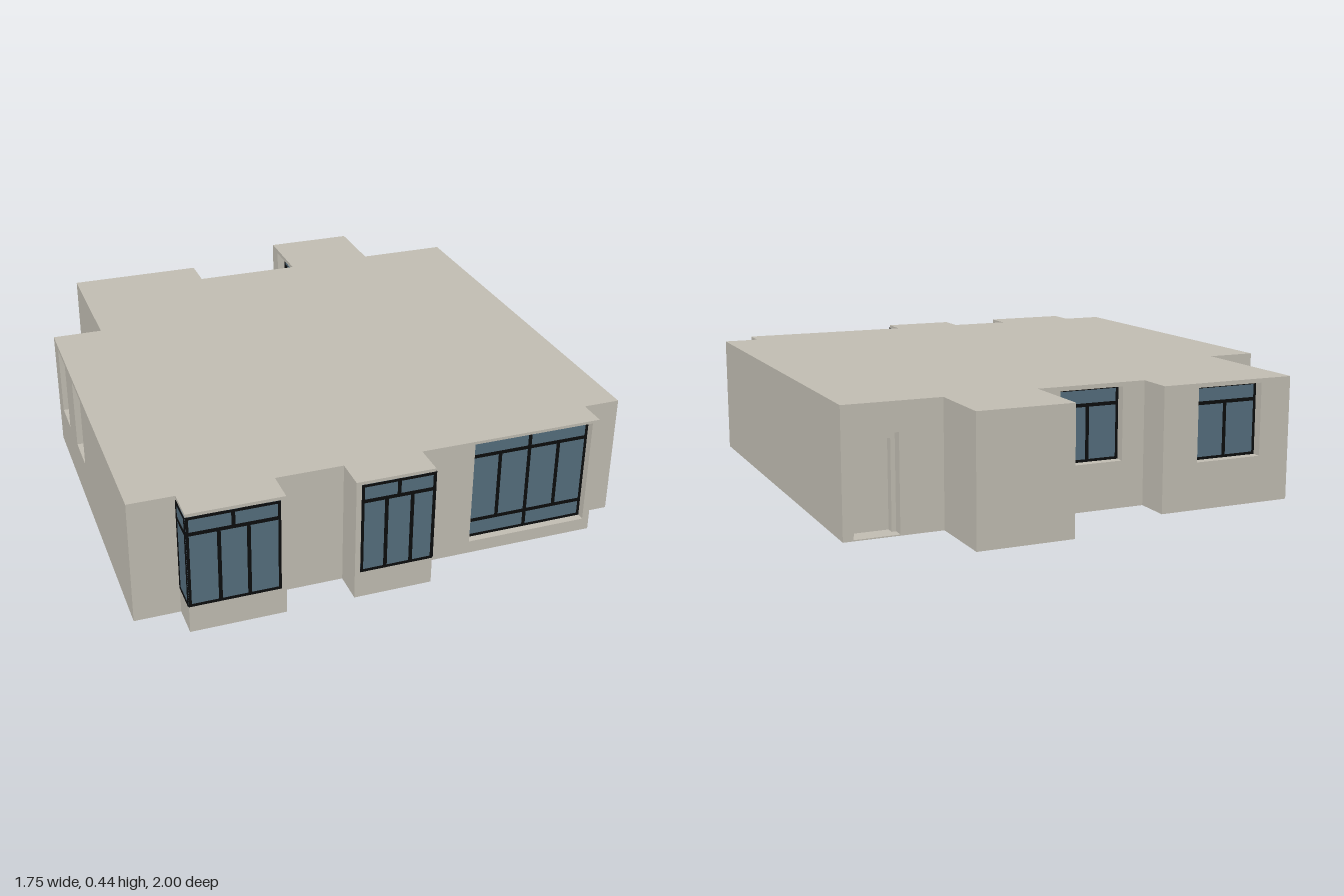
import * as THREE from 'three';

const H = 0.435;
const mat = (name, color) => Object.assign(new THREE.MeshStandardMaterial({ color }), { name });

// Footprint corners [x, z], counterclockwise seen from above, starting at the front
const outline = [
  [-0.88, 0.885], [-0.725, 0.885], [-0.725, 0.997], [-0.405, 0.997], [-0.405, 0.885],
  [-0.175, 0.885], [-0.175, 0.997], [0.095, 0.997], [0.095, 0.885], [0.745, 0.885],
  [0.745, 0.785], [0.875, 0.785], [0.875, -0.74], [0.535, -0.74], [0.535, -1],
  [0.2, -1], [0.2, -0.73], [-0.2, -0.73], [-0.2, -0.86], [-0.7, -0.86],
  [-0.7, -0.365], [-0.88, -0.365],
];

// Openings by wall index; from/to run along the wall's world axis.
// rails are full-width bars, posts are [position, bottom, top].
const back = { y0: 0.165, y1: 0.42, rails: [0.36], depth: 0.035 };
const openings = {
  1: [{ name: 'bayLeftGlazing', from: 0.89, to: 0.997, y0: 0.097, y1: 0.424, rails: [0.363], flush: true }],
  2: [{ name: 'bayFrontGlazing', from: -0.725, to: -0.423, y0: 0.097, y1: 0.424, rails: [0.363], flush: true,
    posts: [[-0.575, 0.363, 0.424], [-0.622, 0.097, 0.363], [-0.527, 0.097, 0.363]] }],
  6: [{ name: 'bayFrontGlazing', from: -0.157, to: 0.095, y0: 0.097, y1: 0.424, rails: [0.363], flush: true,
    posts: [[-0.03, 0.363, 0.424], [-0.072, 0.097, 0.363], [0.016, 0.097, 0.363]] }],
  7: [{ name: 'bayRightGlazing', from: 0.89, to: 0.997, y0: 0.097, y1: 0.424, rails: [0.363], flush: true }],
  8: [{ name: 'wideFrontWindow', from: 0.285, to: 0.72, y0: 0.045, y1: 0.425, rails: [0.36, 0.11], depth: 0.03,
    posts: [[0.503, 0.045, 0.425], [0.395, 0.11, 0.36], [0.612, 0.11, 0.36]] }],
  12: [{ name: 'backDoor', from: 0.685, to: 0.84, y0: 0.004, y1: 0.335, depth: 0.07, door: true }],
  15: [{ name: 'sideWindow', from: -0.935, to: -0.755, posts: [[-0.845, 0.165, 0.36]], ...back }],
  16: [{ name: 'recessWindow', from: -0.117, to: 0.117, posts: [[0, 0.165, 0.36]], ...back }],
  18: [{ name: 'backWindow', from: -0.583, to: -0.333, posts: [[-0.458, 0.165, 0.36]], ...back }],
  21: [
    { name: 'smallWindow', from: -0.28, to: -0.14, ...back },
    { name: 'smallWindow', from: 0.0, to: 0.15, ...back },
  ],
};

function rectPath(Type, x0, y0, x1, y1) {
  const p = new Type();
  p.moveTo(x0, y0); p.lineTo(x1, y0); p.lineTo(x1, y1); p.lineTo(x0, y1); p.closePath();
  return p;
}

function box(name, material, x0, x1, y0, y1, z0, z1) {
  const m = new THREE.Mesh(new THREE.BoxGeometry(x1 - x0, y1 - y0, z1 - z0), material);
  m.position.set((x0 + x1) / 2, (y0 + y1) / 2, (z0 + z1) / 2);
  m.name = name;
  return m;
}

export function createModel() {
  const stone = mat('stone', 0xc0bcb1);
  const glass = mat('glass', 0x546d7c);
  const frame = mat('darkFrame', 0x0b0c0d);
  const house = new THREE.Group();
  house.name = 'house';

  // Roof and floor
  for (const [name, s, y] of [['roof', -1, H], ['floor', 1, 0]]) {
    const shape = new THREE.Shape(outline.map(([x, z]) => new THREE.Vector2(x, s * z)));
    const slab = new THREE.Mesh(new THREE.ShapeGeometry(shape).rotateX(s * Math.PI / 2), stone);
    slab.position.y = y;
    slab.name = name;
    house.add(slab);
  }

  // Glazing: pane, border and bars, in wall coordinates
  function makeWindow(o, toU) {
    const g = new THREE.Group();
    g.name = o.name;
    const [u0, u1] = [toU(o.from), toU(o.to)].sort((a, b) => a - b);
    const z = o.flush ? 0 : -o.depth, b = 0.009, h = 0.006;
    g.add(box('pane', glass, u0, u1, o.y0, o.y1, z - 0.004, z + 0.001));
    const bar = (x0, x1, y0, y1) => g.add(box('frameBar', frame, x0, x1, y0, y1, z - 0.003, z + 0.003));
    bar(u0, u0 + b, o.y0, o.y1);
    bar(u1 - b, u1, o.y0, o.y1);
    bar(u0, u1, o.y0, o.y0 + b);
    bar(u0, u1, o.y1 - b, o.y1);
    for (const y of o.rails) bar(u0, u1, y - h, y + h);
    for (const [p, y0, y1] of o.posts ?? []) bar(toU(p) - h, toU(p) + h, y0, y1);
    return g;
  }

  // Recessed door with stepped jambs and lintel
  function makeDoor(o, toU) {
    const g = new THREE.Group();
    g.name = o.name;
    const [u0, u1] = [toU(o.from), toU(o.to)].sort((a, b) => a - b);
    const d = -o.depth;
    g.add(box('doorLeaf', stone, u0, u1, o.y0, o.y1, d - 0.01, d));
    g.add(box('doorJamb', stone, u0, u0 + 0.015, o.y0, o.y1, d, d + 0.03));
    g.add(box('doorJamb', stone, u1 - 0.015, u1, o.y0, o.y1, d, d + 0.03));
    g.add(box('doorLintel', stone, u0, u1, o.y1 - 0.025, o.y1, d, d + 0.03));
    return g;
  }

  // One wall panel per footprint edge, its outer face on local z = 0
  outline.forEach(([ax, az], i) => {
    const [bx, bz] = outline[(i + 1) % outline.length];
    const length = Math.hypot(bx - ax, bz - az);
    const alongX = Math.abs(bx - ax) > Math.abs(bz - az);
    const toU = (v) => Math.abs(v - (alongX ? ax : az));
    const list = openings[i] ?? [];
    const wall = new THREE.Group();
    wall.name = 'wall';
    wall.position.set(ax, 0, az);
    wall.rotation.y = Math.atan2(az - bz, bx - ax);

    const shape = rectPath(THREE.Shape, 0, 0, length, H);
    let depth = 0.01;
    for (const o of list) {
      if (!o.flush) {
        shape.holes.push(rectPath(THREE.Path, toU(o.from), o.y0, toU(o.to), o.y1));
        depth = o.depth;
      }
      wall.add(o.door ? makeDoor(o, toU) : makeWindow(o, toU));
    }
    const panel = new THREE.Mesh(
      new THREE.ExtrudeGeometry(shape, { depth, bevelEnabled: false }).translate(0, 0, -depth), stone);
    panel.name = 'wallPanel';
    wall.add(panel);
    house.add(wall);
  });

  return house;
}
